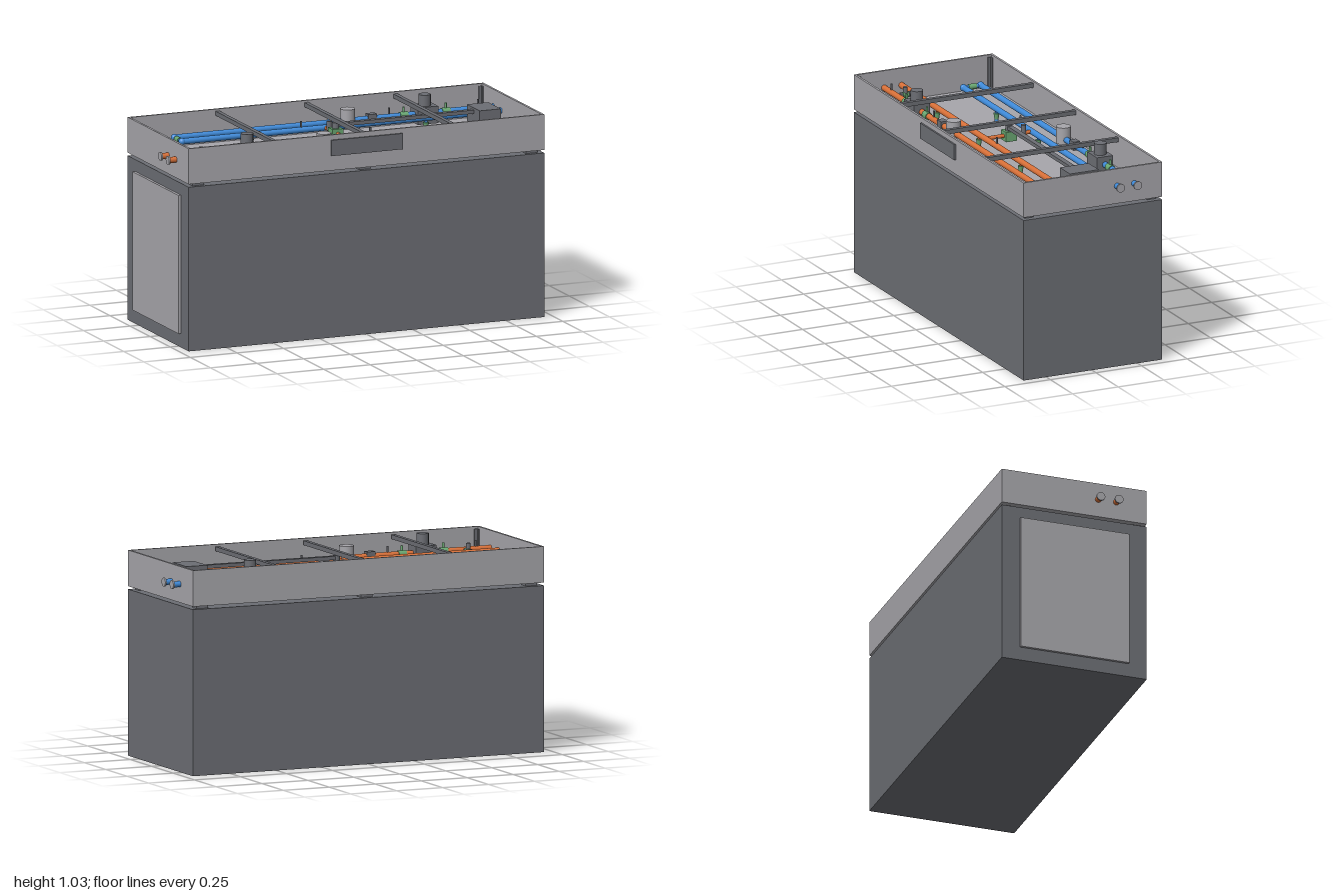
import * as THREE from 'three';

const paint = (name, color) => {
  const m = new THREE.MeshStandardMaterial({ color });
  m.name = name;
  return m;
};

export function createModel() {
  const dark = paint('dark grey', 0x6c6e74);
  const light = paint('light grey', 0xa7a6ab);
  const blue = paint('blue', 0x3f8ad8);
  const orange = paint('orange', 0xd87038);
  const green = paint('green', 0x6aa872);

  const model = new THREE.Group();
  model.name = 'pipeworkCabinet';

  const add = (parent, name, geo, mat, x, y, z) => {
    const mesh = new THREE.Mesh(geo, mat);
    mesh.name = name;
    mesh.position.set(x, y, z);
    parent.add(mesh);
    return mesh;
  };
  // Box given by its limits on each axis
  const box = (parent, name, mat, x0, x1, y0, y1, z0, z1) =>
    add(parent, name, new THREE.BoxGeometry(x1 - x0, y1 - y0, z1 - z0), mat,
      (x0 + x1) / 2, (y0 + y1) / 2, (z0 + z1) / 2);
  // Cylinder along a chosen axis, centred on x, y, z
  const rod = (parent, name, mat, axis, r, len, x, y, z, rEnd = r) => {
    const geo = new THREE.CylinderGeometry(r, rEnd, len, 20);
    if (axis === 'x') geo.rotateZ(-Math.PI / 2);
    if (axis === 'z') geo.rotateX(Math.PI / 2);
    return add(parent, name, geo, mat, x, y, z);
  };

  const X = 0.955, BACK = -0.385, FRONT = 0.375, MID = -0.005;
  const PIPE_Y = 0.937, R = 0.015;

  // Lower cabinet with side door
  box(model, 'cabinet', dark, -X, X, 0, 0.83, BACK, FRONT);
  box(model, 'sideDoor', light, -X - 0.014, -X, 0.07, 0.77, -0.29, 0.28);

  // Spacer feet between cabinet and tray
  for (const x of [-0.895, 0, 0.895])
    for (const s of [-1, 1])
      box(model, 'spacerFoot', dark, x - 0.031, x + 0.031, 0.83, 0.845,
        MID + s * 0.335 - 0.024, MID + s * 0.335 + 0.024);

  // Open tray
  const tray = new THREE.Group();
  tray.name = 'tray';
  model.add(tray);
  const T = 0.012;
  box(tray, 'trayFloor', light, -X, X, 0.845, 0.858, BACK, FRONT);
  box(tray, 'backWall', light, -X, X, 0.858, 1.025, BACK, BACK + T);
  box(tray, 'frontWall', light, -X, X, 0.858, 1.025, FRONT - T, FRONT);
  for (const s of [-1, 1])
    box(tray, 'endWall', light, s * (X - T / 2) - T / 2, s * (X - T / 2) + T / 2,
      0.858, 1.025, BACK + T, FRONT - T);
  box(tray, 'frontPlate', dark, -0.192, 0.192, 0.92, 1.0, FRONT, 0.384);

  // Angle posts in the corners
  for (const sx of [-1, 1])
    for (const sz of [-1, 1]) {
      const x = sx * (X - T), z = MID + sz * (0.38 - T);
      add(tray, 'cornerPost', new THREE.BoxGeometry(0.02, 0.155, 0.006), dark,
        x - sx * 0.01, 0.936, z - sz * 0.003);
      add(tray, 'cornerPost', new THREE.BoxGeometry(0.006, 0.155, 0.02), dark,
        x - sx * 0.003, 0.936, z - sz * 0.01);
    }

  // Cross beams
  for (const x of [-0.478, 0, 0.478])
    box(tray, 'crossBeam', dark, x - 0.011, x + 0.011, 0.993, 1.015, BACK + T, 0.352);

  // One pipe circuit; s = 1 leads out at +x, s = -1 at -x
  const circuit = (name, mat, s, zOuter, zInner) => {
    const g = new THREE.Group();
    g.name = name;
    model.add(g);
    const zMid = (zOuter + zInner) / 2;
    for (const z of [zOuter, zInner]) {
      rod(g, 'pipe', mat, 'x', R, 1.762, s * 0.111, PIPE_Y, z);
      rod(g, 'pipeFlange', light, 'x', 0.022, 0.008, s * 0.996, PIPE_Y, z);
      add(g, 'elbow', new THREE.SphereGeometry(0.018, 20, 14), mat, -s * 0.77, PIPE_Y, z);
    }
    // Return bend with its valve
    rod(g, 'returnPipe', mat, 'z', 0.01, Math.abs(zOuter - zInner), -s * 0.77, PIPE_Y, zMid);
    rod(g, 'returnValve', green, 'z', 0.014, 0.042, -s * 0.77, PIPE_Y, zMid);

    // Pump and its shut-off valves
    const px = s * 0.573;
    box(g, 'pumpBody', dark, px - 0.055, px + 0.055, 0.892, 0.978, zOuter - 0.044, zOuter + 0.044);
    rod(g, 'pumpMotor', dark, 'y', 0.031, 0.06, px, 1.005, zOuter);
    for (const x of [0.46, 0.686]) {
      rod(g, 'shutOffValve', green, 'x', 0.019, 0.042, s * x, PIPE_Y, zOuter);
      rod(g, 'valveStem', green, 'y', 0.006, 0.03, s * x, PIPE_Y + 0.028, zOuter);
    }
    // Meter, expansion vessel and small sensors
    box(g, 'meter', dark, s * 0.287 - 0.023, s * 0.287 + 0.023, 0.917, 0.962, zOuter - 0.018, zOuter + 0.018);
    rod(g, 'vessel', light, 'y', 0.037, 0.085, s * 0.16, 0.957, zOuter);
    for (const [x, z] of [[0.382, zOuter], [0.86, zOuter], [-0.13, zInner]])
      rod(g, 'sensor', dark, 'y', 0.005, 0.04, s * x, PIPE_Y + 0.025, z);

    // Drain taps hanging below the inner pipe
    for (const x of [-0.4, 0.07, 0.54]) {
      rod(g, 'tapNeck', mat, 'y', 0.007, 0.03, s * x, 0.917, zInner);
      rod(g, 'drainTap', green, 'y', 0.015, 0.03, s * x, 0.9, zInner, 0.01);
      rod(g, 'tapOutlet', mat, 'y', 0.009, 0.026, s * x, 0.873, zInner);
    }
    return g;
  };
  circuit('coldCircuit', blue, 1, -0.231, -0.137);
  const hot = circuit('hotCircuit', orange, -1, 0.215, 0.12);

  // Bypass between the two hot pipes
  rod(hot, 'bypassPipe', dark, 'z', 0.007, 0.095, -0.8, PIPE_Y, 0.168);
  rod(hot, 'bypassValve', green, 'z', 0.014, 0.03, -0.8, PIPE_Y, 0.168);
  rod(hot, 'bypassHandle', dark, 'y', 0.011, 0.04, -0.8, PIPE_Y + 0.02, 0.168);
  for (const z of [0.145, 0.191])
    rod(hot, 'bypassNut', dark, 'z', 0.014, 0.01, -0.8, PIPE_Y, z);

  // Mixing link with central valve
  const link = new THREE.Group();
  link.name = 'mixingLink';
  model.add(link);
  rod(link, 'linkPipe', orange, 'z', 0.01, 0.257, 0, PIPE_Y, -0.0085);
  box(link, 'mixingValve', green, -0.029, 0.029, 0.912, 0.962, -0.039, 0.019);
  rod(link, 'valveActuator', dark, 'y', 0.018, 0.03, 0, 0.976, -0.01);
  rod(link, 'linkSensor', dark, 'y', 0.013, 0.045, 0, 0.957, -0.09);

  // Control box and cable duct
  box(model, 'controlBox', dark, 0.738, 0.853, 0.88, 0.998, -0.087, 0.071);
  box(model, 'cableDuct', dark, 0.01, 0.74, 0.97, 0.988, -0.023, 0.004);

  return model;
}
